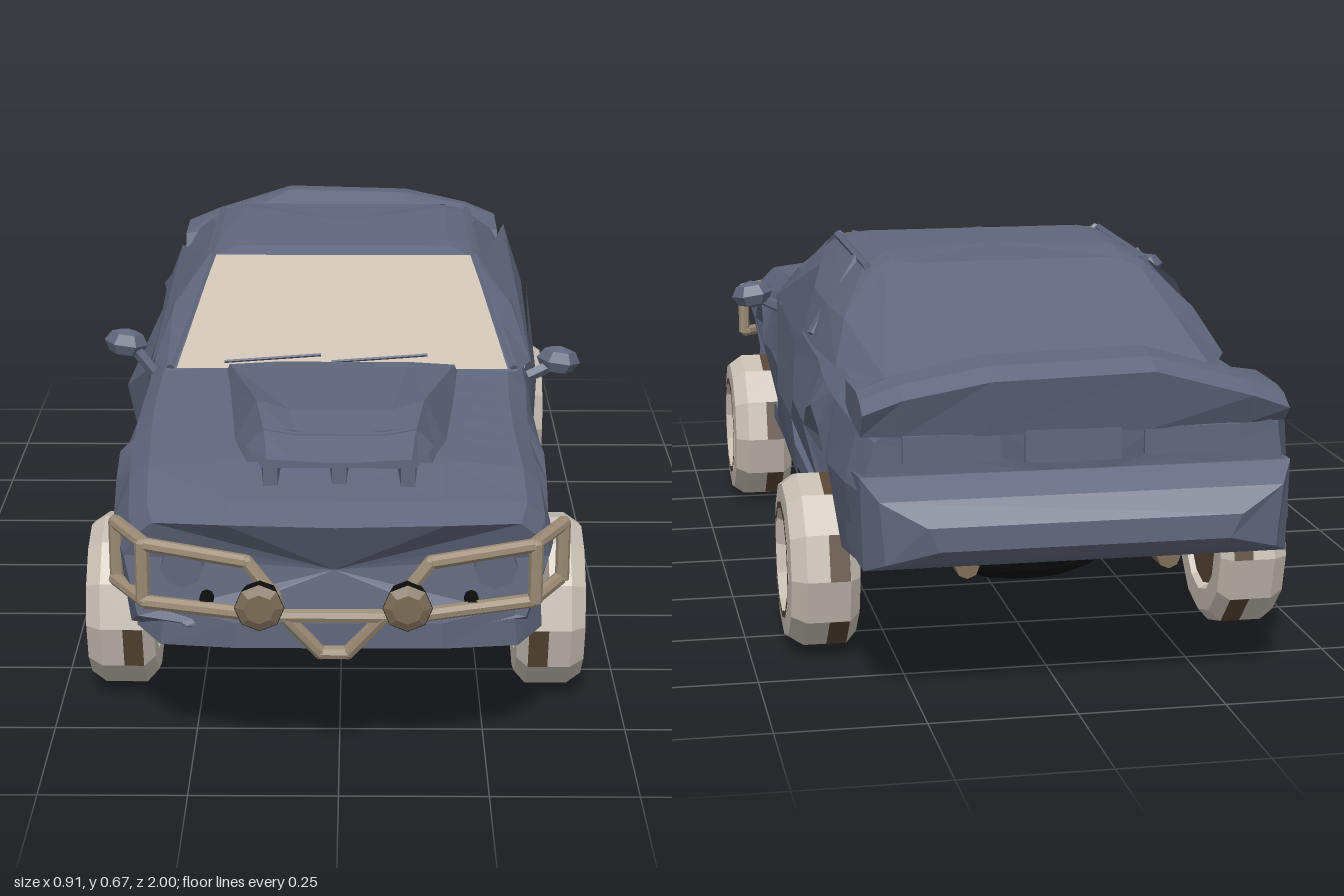
import * as THREE from 'three';

const mat = (name, color) => {
  const m = new THREE.MeshStandardMaterial({ color, flatShading: true, side: THREE.DoubleSide });
  m.name = name;
  return m;
};
const V = (p) => new THREE.Vector3(...p);

export function createModel() {
  const paint = mat('slate paint', 0x60677c), glass = mat('dusty glass', 0xcbbfb1), tyreMat = mat('dusty tyre', 0xc6beb3);
  const rust = mat('rusty brown', 0x574434), barMat = mat('tan steel', 0x9a8a74), lensMat = mat('dull lens', 0x7b6a56), black = mat('black', 0x0d0d0d);
  const car = new THREE.Group();
  car.name = 'car';

  const add = (name, geo, material, parent = car) => {
    const m = new THREE.Mesh(geo, material);
    m.name = name;
    parent.add(m);
    return m;
  };
  const fromTriangles = (pos) => {
    const g = new THREE.BufferGeometry();
    g.setAttribute('position', new THREE.Float32BufferAttribute(pos, 3));
    g.computeVertexNormals();
    return g;
  };
  // Skin over closed rings of points, with both ends capped
  const loft = (rings) => {
    const pos = [], n = rings[0].length;
    const tri = (...ps) => ps.forEach((p) => pos.push(...p));
    const mid = (r) => [0, 1, 2].map((k) => r.reduce((s, p) => s + p[k], 0) / n);
    const last = rings[rings.length - 1], c0 = mid(rings[0]), c1 = mid(last);
    for (let j = 0; j < n; j++) {
      const k = (j + 1) % n;
      for (let i = 0; i + 1 < rings.length; i++) {
        const a = rings[i], b = rings[i + 1];
        tri(a[j], a[k], b[j]);
        tri(a[k], b[k], b[j]);
      }
      tri(c0, rings[0][k], rings[0][j]);
      tri(c1, last[j], last[k]);
    }
    return fromTriangles(pos);
  };
  // Fan of triangles from the first point
  const fan = (pts, closed = false) => {
    const pos = [], q = closed ? [...pts, pts[1]] : pts;
    for (let i = 1; i + 1 < q.length; i++) pos.push(...q[0], ...q[i], ...q[i + 1]);
    return fromTriangles(pos);
  };
  const rod = (name, a, b, r, material, parent = car, r2 = r, sides = 8) => {
    const p = V(a), d = V(b).sub(p);
    const m = add(name, new THREE.CylinderGeometry(r2, r, d.length(), sides), material, parent);
    m.position.copy(p).addScaledVector(d, 0.5);
    m.quaternion.setFromUnitVectors(new THREE.Vector3(0, 1, 0), d.normalize());
    return m;
  };
  const box = (name, w, h, d, x, y, z) => add(name, new THREE.BoxGeometry(w, h, d), paint).position.set(x, y, z);
  // Trapezoid blocks along z: [z, half width at base, half width at top, y base, y top]
  const block = (name, rows) => add(name, loft(rows.map(([z, w, t, y0, y1]) => [[-w, y0, z], [w, y0, z], [t, y1, z], [-t, y1, z]])), paint);

  // Lower body: [z, half width, floor, shoulder, deck]
  const keys = [
    [-0.94, 0.345, 0.25, 0.47, 0.5], [-0.87, 0.365, 0.23, 0.48, 0.515], [-0.7, 0.372, 0.215, 0.495, 0.525],
    [-0.4, 0.365, 0.21, 0.5, 0.53], [0.28, 0.362, 0.21, 0.5, 0.52], [0.72, 0.36, 0.22, 0.465, 0.495],
    [0.87, 0.358, 0.225, 0.44, 0.47], [0.935, 0.345, 0.26, 0.425, 0.45],
  ];
  const axles = [0.525, -0.55];
  const stations = keys.map((k) => k[0]);
  for (const a of axles) for (const d of [-0.165, -0.16, -0.135, -0.08, 0, 0.08, 0.135, 0.16, 0.165]) stations.push(a + d);
  stations.sort((a, b) => a - b);
  const bodyRings = stations.map((z) => {
    let i = 0;
    while (i < keys.length - 2 && z > keys[i + 1][0]) i++;
    const t = (z - keys[i][0]) / (keys[i + 1][0] - keys[i][0]);
    const [, w, floor, sh, deck] = keys[i].map((v, k) => v + (keys[i + 1][k] - v) * t);
    const near = Math.min(...axles.map((a) => Math.abs(z - a)));
    const arch = near < 0.162 ? 0.25 + 0.175 * Math.sqrt(Math.max(0, 1 - (near / 0.161) ** 2)) : floor + 0.005;
    const flare = near < 0.2 ? 0.008 : 0;
    const half = [[0.24, floor], [0.25, arch], [w - 0.02 + flare, arch], [w + 0.01 + flare, Math.max(0.37, arch + 0.01)],
      [w - 0.008, sh - 0.02], [w - 0.04, sh + 0.01], [0.18, deck - 0.004]];
    const ring = [...half, [0, deck], ...half.map(([x, y]) => [-x, y]).reverse()];
    const bend = z > 0.7 ? 0.65 * Math.min(1, (z - 0.7) / 0.2) : z < -0.85 ? -0.15 : 0;
    return ring.map(([x, y]) => [x + 0.006 * Math.sin(z * 9 + y * 14) - 0.01, y, z - bend * x * x]);
  });
  add('lowerBody', loft(bodyRings), paint);

  // Cabin with raked front and fastback rear
  const belt = [[0.33, 0.51, 0.285], [0.358, 0.505, 0.2], [0.358, 0.51, -0.4], [0.345, 0.515, -0.62], [0.28, 0.52, -0.78]];
  const rail = [[0.257, 0.653, -0.01], [0.264, 0.652, -0.05], [0.262, 0.65, -0.38], [0.252, 0.648, -0.42], [0.235, 0.645, -0.46]];
  const crown = [[0.21, 0.666, -0.05], [0.21, 0.668, -0.08], [0.21, 0.672, -0.34], [0.21, 0.668, -0.38], [0.2, 0.66, -0.42]];
  const waist = belt.map((p, i) => p.map((v, k) => (v + rail[i][k]) / 2 + (k === 0 && i > 0 && i < 4 ? 0.018 : 0)));
  const around = (r) => [...r, ...r.map(([x, y, z]) => [-x, y, z]).reverse()];
  add('cabin', loft([belt, waist, rail, crown].map(around)), paint);
  add('windshield', fan([[-0.31, 0.515, 0.284], [0.31, 0.515, 0.284], [0.252, 0.657, -0.008], [-0.252, 0.657, -0.008]]), glass);
  add('rearWindow', fan([[0.25, 0.548, -0.742], [-0.25, 0.548, -0.742], [-0.215, 0.645, -0.48], [0.215, 0.645, -0.48]]), paint);
  for (const s of [-1, 1]) {
    rod('windshieldPillar', [s * 0.322, 0.515, 0.28], [s * 0.257, 0.655, -0.01], 0.008, paint, car, 0.008, 5);
    rod('roofRail', [s * 0.262, 0.655, -0.02], [s * 0.258, 0.652, -0.4], 0.008, paint, car, 0.008, 5);
    rod('doorPillar', [s * 0.352, 0.52, -0.35], [s * 0.262, 0.652, -0.3], 0.012, paint, car, 0.012, 5);
    rod('wiper', [s * 0.1 - 0.12, 0.527, 0.28], [s * 0.1 + 0.06, 0.535, 0.262], 0.003, paint, car, 0.003, 4);
    box('sill', 0.02, 0.035, 0.68, s * 0.352 - 0.006, 0.228, 0);
  }

  // Hood scoop: raised shoulders over twin intakes
  const scoopRow = (z, w, t, y0, yEdge, yMid) => [[-w, y0, z], [w, y0, z], [t, yEdge, z], [t * 0.6, yMid, z], [-t * 0.6, yMid, z], [-t, yEdge, z]];
  add('hoodScoop', loft([scoopRow(0.29, 0.225, 0.21, 0.49, 0.525, 0.53), scoopRow(0.63, 0.2, 0.145, 0.465, 0.568, 0.55),
    scoopRow(0.73, 0.17, 0.13, 0.465, 0.55, 0.54)]), paint);
  add('scoopLip', loft([scoopRow(0.72, 0.16, 0.13, 0.515, 0.55, 0.54), scoopRow(0.815, 0.13, 0.12, 0.51, 0.525, 0.52)]), paint);
  for (const x of [-0.115, 0, 0.115]) block('scoopRib', [[0.72, 0.02, 0.015, 0.47, 0.52], [0.81, 0.012, 0.012, 0.47, 0.515]]).position.x = x;

  // Bumpers and tail details
  block('frontBumper', [[0.8, 0.345, 0.34, 0.22, 0.29], [0.87, 0.3, 0.29, 0.215, 0.285], [0.93, 0.17, 0.17, 0.235, 0.28]]);
  block('rearBumper', [[-1, 0.24, 0.26, 0.285, 0.325], [-0.975, 0.325, 0.335, 0.26, 0.365], [-0.93, 0.355, 0.36, 0.24, 0.395], [-0.8, 0.365, 0.37, 0.25, 0.39]]).position.x = -0.012;
  box('plateRecess', 0.16, 0.055, 0.008, 0, 0.44, -0.943);
  // Spoiler, bent so that its ends droop: [x, top]
  add('spoiler', loft([[-0.365, 0.51], [-0.3, 0.535], [-0.13, 0.585], [0.14, 0.578], [0.28, 0.55], [0.345, 0.525]].map(([x, top]) => {
    const sweep = 0.25 * x * x;
    return [[x, 0.47, -0.74], [x, 0.46, -0.95 + sweep], [x, top - 0.025, -0.975 + sweep], [x, top - 0.006, -0.94 + sweep], [x, top, -0.87], [x, Math.min(0.52, top), -0.75]];
  })), paint);
  for (const s of [-1, 1]) {
    box('tailLight', 0.16, 0.045, 0.008, s * 0.2, 0.44, -0.939);
    rod('headlight', [s * 0.26, 0.36, 0.84], [s * 0.26, 0.36, 0.886], 0.036, paint);
    rod('exhaust', [s * 0.17, 0.23, -0.8], [s * 0.17, 0.235, -0.92], 0.02, lensMat);
  }

  // Battered doors: the right one dented, the left one ajar
  add('dentedDoor', fan([[-0.438, 0.37, -0.06], [-0.372, 0.485, 0.2], [-0.37, 0.25, 0.2], [-0.365, 0.23, -0.1],
    [-0.38, 0.25, -0.36], [-0.37, 0.485, -0.36], [-0.368, 0.495, -0.1]], true), paint);
  add('dentedDoorWindow', fan([[-0.365, 0.495, 0.21], [-0.378, 0.495, -0.35], [-0.34, 0.595, -0.32], [-0.28, 0.652, -0.04]]), paint);
  add('openDoor', fan([[0.395, 0.37, -0.12], [0.362, 0.24, 0.21], [0.36, 0.5, 0.21], [0.385, 0.51, -0.35], [0.395, 0.37, -0.36], [0.38, 0.24, -0.35]], true), paint);
  add('openDoorWindow', fan([[0.36, 0.5, 0.21], [0.375, 0.51, -0.35], [0.332, 0.645, -0.31], [0.282, 0.648, -0.03]]), paint);
  add('looseFender', fan([[-0.365, 0.47, -0.68], [-0.415, 0.4, -0.72], [-0.38, 0.28, -0.75], [-0.375, 0.29, -0.92], [-0.37, 0.46, -0.9]]), paint);

  // Mirrors
  for (const [s, y] of [[1, 0.505], [-1, 0.538]]) {
    rod('mirrorArm', [s * 0.355, 0.475, 0.2], [s * 0.395, y - 0.01, 0.2], 0.012, paint, car, 0.012, 5);
    const m = add('mirror', new THREE.SphereGeometry(1, 6, 4), paint);
    m.scale.set(0.042, 0.028, 0.03);
    m.rotation.z = -0.15;
    m.position.set(s * 0.412, y, 0.195);
  }

  // Wheels, with patches of rust on the inner tread and beside the rim
  const tyreProfile = [[0.085, -0.04], [0.095, -0.064], [0.135, -0.064], [0.156, -0.045], [0.156, 0.03], [0.138, 0.056], [0.104, 0.058], [0.082, 0.02], [0.085, -0.04]];
  const tyreGeo = new THREE.LatheGeometry(tyreProfile.map(([r, y]) => new THREE.Vector2(r, y)), 12).rotateZ(-Math.PI / 2);
  const patches = [0, 1, 2, 3, 4, 5].map((i) => new THREE.CylinderGeometry(0.1565, 0.1565, 0.035, 1, 1, true, (i * Math.PI) / 3, Math.PI / 6)
    .translate(0, -0.027, 0).rotateZ(-Math.PI / 2));
  const rimEdge = new THREE.RingGeometry(0.094, 0.106, 12).rotateY(Math.PI / 2).translate(0.059, 0, 0);
  for (const z of axles) for (const s of [-1, 1]) {
    const wheel = new THREE.Group();
    wheel.name = 'wheel';
    add('tyre', tyreGeo, tyreMat, wheel);
    patches.forEach((p) => add('treadRust', p, rust, wheel));
    add('rimEdge', rimEdge, rust, wheel);
    rod('rim', [-0.056, 0, 0], [0.015, 0, 0], 0.084, rust, wheel, 0.084, 12);
    rod('hub', [0.015, 0, 0], [0.035, 0, 0], 0.038, rust, wheel, 0.026);
    wheel.position.set(s * 0.386 - 0.008, 0.156, z);
    wheel.scale.x = s;
    car.add(wheel);
  }

  // Axles, drive shaft and suspension
  for (const z of axles) {
    rod('axle', [-0.33, 0.168, z], [0.32, 0.168, z], 0.028, black);
    const diff = add('differential', new THREE.SphereGeometry(1, 10, 6), black);
    diff.scale.set(0.16, 0.055, 0.065);
    diff.position.set(0, 0.155, z);
    for (const s of [-1, 1]) {
      rod('shock', [s * 0.28, 0.17, z], [s * 0.28, 0.37, z], 0.04, black, car, 0.008, 6);
      rod('link', [s * 0.22, 0.165, z], [s * 0.13, 0.19, 0], 0.014, black, car, 0.014, 6);
    }
    rod('driveShaft', [0, 0.165, z], [0.03, 0.19, 0], 0.02, black);
  }

  // Bull bar and round lamps
  const bar = new THREE.Group();
  bar.name = 'bullBar';
  car.add(bar);
  const path = (name, pts, r = 0.012) => {
    for (let i = 0; i + 1 < pts.length; i++) {
      rod(name, pts[i], pts[i + 1], r, barMat, bar);
      const joint = add(name + 'Joint', new THREE.SphereGeometry(r, 8, 5), barMat, bar);
      joint.position.set(...pts[i + 1]);
    }
  };
  path('lowerBar', [[-0.38, 0.31, 0.81], [-0.32, 0.305, 0.9], [-0.12, 0.3, 0.945], [0.12, 0.3, 0.945], [0.32, 0.305, 0.89], [0.372, 0.312, 0.81]]);
  path('centreBrace', [[-0.09, 0.3, 0.945], [-0.03, 0.228, 0.93], [0.015, 0.228, 0.93], [0.075, 0.3, 0.945]]);
  for (const s of [-1, 1]) {
    path('upperBar', [[s * 0.376, 0.31, 0.81], [s * 0.376, 0.412, 0.81], [s * 0.32, 0.405, 0.895], [s * 0.15, 0.393, 0.94], [s * 0.105, 0.335, 0.945], [s * 0.1, 0.3, 0.945]]);
    path('upright', [[s * 0.325, 0.305, 0.895], [s * 0.325, 0.405, 0.895]]);
    rod('barMount', [s * 0.22, 0.305, 0.92], [s * 0.22, 0.3, 0.8], 0.012, black);
    rod('lampHousing', [s * 0.12 - 0.008, 0.333, 0.95], [s * 0.12 - 0.008, 0.333, 0.99], 0.032, black, car, 0.041);
    rod('lampLens', [s * 0.12 - 0.008, 0.333, 0.99], [s * 0.12 - 0.008, 0.333, 0.998], 0.04, lensMat, car, 0.025);
  }
  return car;
}
